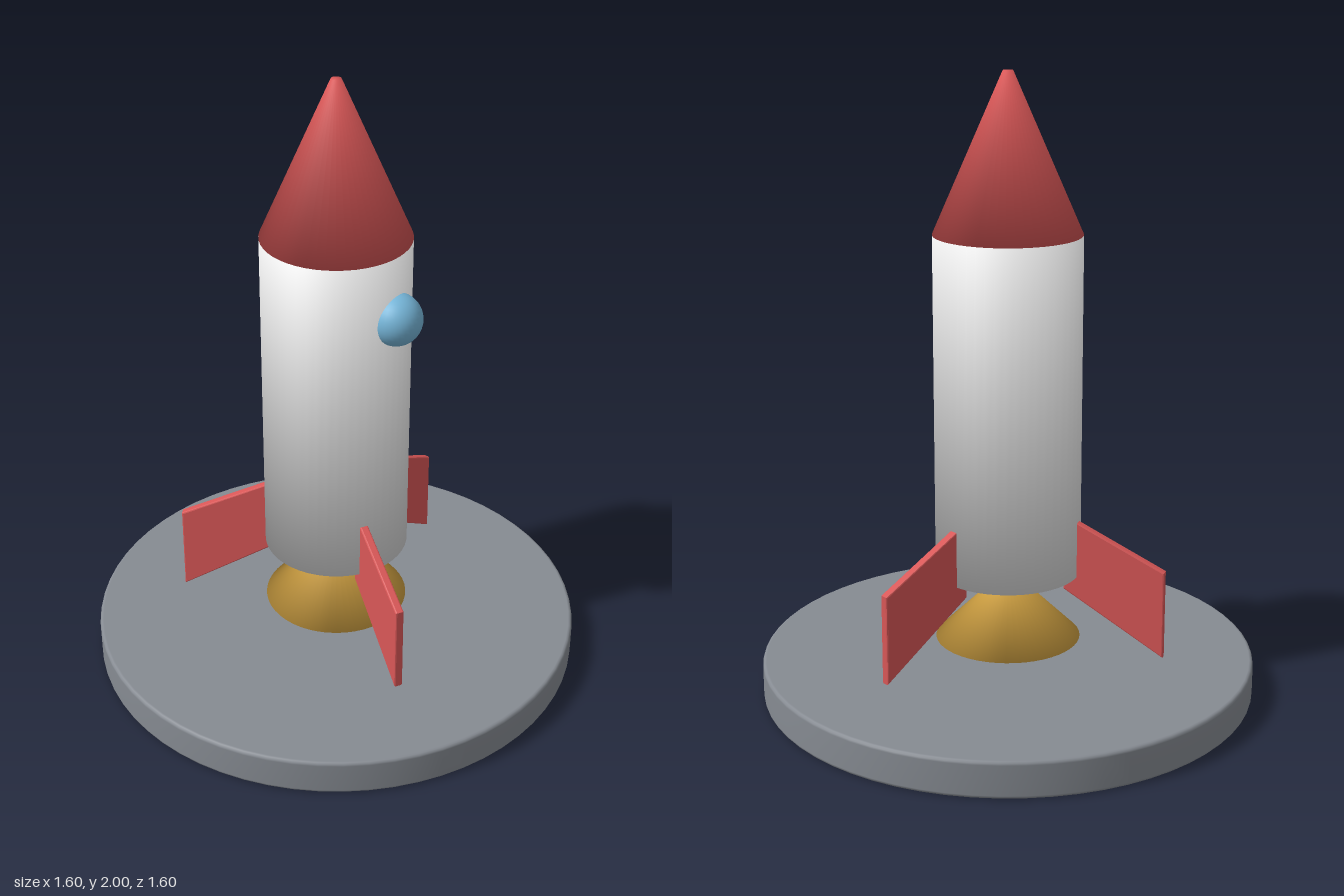
import * as THREE from 'three';

const material = (name, color) => {
  const m = new THREE.MeshStandardMaterial({ color });
  m.name = name;
  return m;
};

// Closed frustum whose normals blend softly across the rims into the caps
function softFrustum(topRadius, bottomRadius, y0, y1) {
  const height = y1 - y0;
  const geo = new THREE.CylinderGeometry(topRadius, bottomRadius, height, 48);
  const pos = geo.attributes.position;
  const side = new THREE.Vector2(height, bottomRadius - topRadius).normalize();
  const n = new THREE.Vector3();
  for (let i = 0; i < pos.count; i++) {
    const x = pos.getX(i), z = pos.getZ(i), cap = Math.sign(pos.getY(i));
    const r = Math.hypot(x, z);
    if (r < 1e-6) n.set(0, cap, 0);
    else n.set(side.x * x / r, side.y + cap, side.x * z / r).normalize();
    geo.attributes.normal.setXYZ(i, n.x, n.y, n.z);
  }
  return geo.translate(0, (y0 + y1) / 2, 0);
}

// Launch pad: disc with small rounded edges
function padGeometry(radius, height, bevel) {
  const profile = [new THREE.Vector2(0, 0)];
  for (const [cy, start] of [[bevel, -Math.PI / 2], [height - bevel, 0]]) {
    for (let i = 0; i <= 3; i++) {
      const a = start + (i / 3) * Math.PI / 2;
      profile.push(new THREE.Vector2(radius - bevel + bevel * Math.cos(a), cy + bevel * Math.sin(a)));
    }
  }
  profile.push(new THREE.Vector2(0, height));
  return new THREE.LatheGeometry(profile, 64);
}

// Swept fin plate, pointing along +x, with slightly bevelled edges
function finGeometry() {
  const outline = [[0.19, 0.355], [0.52, 0.155], [0.52, 0.445], [0.19, 0.605]];
  const shape = new THREE.Shape(outline.map(([x, y]) => new THREE.Vector2(x, y)));
  const bevel = 0.005, thickness = 0.028;
  const geo = new THREE.ExtrudeGeometry(shape, {
    depth: thickness - 2 * bevel,
    bevelThickness: bevel, bevelSize: bevel, bevelOffset: -bevel, bevelSegments: 2,
  });
  return geo.translate(0, 0, bevel - thickness / 2);
}

export function createModel() {
  const red = material('red', 0xd95757);
  const white = material('white', 0xe6e6e6);
  const grey = material('grey', 0x868b92);
  const gold = material('gold', 0xd9a845);
  const blue = material('blue', 0x76b6d9);

  const rocket = new THREE.Group();
  rocket.name = 'rocket';
  const add = (name, geo, mat) => {
    const mesh = new THREE.Mesh(geo, mat);
    mesh.name = name;
    rocket.add(mesh);
    return mesh;
  };

  add('launchPad', padGeometry(0.8, 0.12, 0.012), grey);
  add('nozzle', softFrustum(0.022, 0.235, 0.17, 0.38), gold);
  add('body', softFrustum(0.235, 0.235, 0.4, 1.5), white);
  add('noseCone', softFrustum(0.016, 0.235, 1.5, 2), red);

  // Porthole, half sunk in the front of the body
  add('porthole', new THREE.SphereGeometry(0.083, 32, 20), blue).position.set(0, 1.29, 0.228);

  // Three fins spaced evenly around the body
  const fin = finGeometry();
  for (let i = 0; i < 3; i++) add(`fin${i + 1}`, fin, red).rotation.y = (i * Math.PI * 2) / 3;

  return rocket;
}
